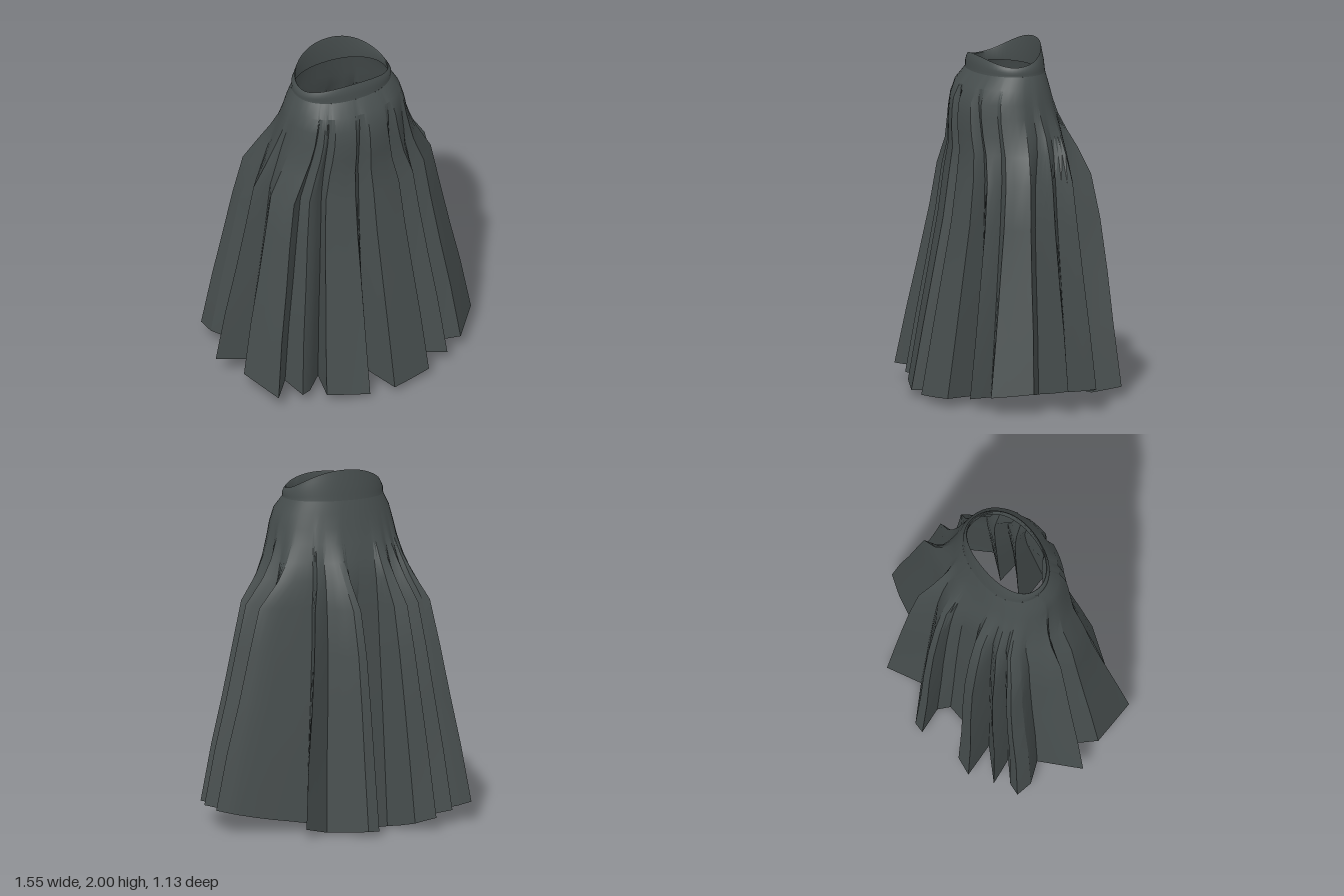
import * as THREE from 'three';
import { toCreasedNormals } from 'three/addons/utils/BufferGeometryUtils.js';

const cloth = new THREE.MeshStandardMaterial({ color: 0x474e4e, side: THREE.DoubleSide });
cloth.name = 'charcoalCloth';

const { lerp, smoothstep } = THREE.MathUtils;

// Skirt levels: height, half width, front reach, back reach, pleating in front, pleating behind
const LEVELS = [
  [1.83, 0.29, 0.23, 0.172, 0, 0],
  [1.76, 0.33, 0.29, 0.19, 0.12, 0],
  [1.68, 0.355, 0.322, 0.21, 0.42, 0.08],
  [1.6, 0.375, 0.332, 0.238, 0.58, 0.22],
  [1.5, 0.41, 0.332, 0.29, 0.7, 0.45],
  [1.4, 0.455, 0.325, 0.35, 0.85, 0.7],
  [1.25, 0.545, 0.345, 0.42, 0.97, 0.95],
  [1.0, 0.595, 0.38, 0.47, 1, 1],
  [0.7, 0.655, 0.44, 0.505, 1, 1],
  [0.4, 0.72, 0.5, 0.53, 1, 1],
  [0.04, 0.78, 0.57, 0.57, 1, 1],
];

// Corners of the pleats along the hem (x, z), from the front round by +x;
// a third number sets the angle at the waist where the pleat leans
const HEM = [
  [-0.02, 0.33], [0.05, 0.565], [0.29, 0.51], [0.23, 0.3], [0.44, 0.44],
  [0.41, 0.3, 0.98], [0.56, 0.365, 1.08], [0.72, 0.175, 1.5], [0.5, 0.05, 1.68], [0.775, -0.01, 1.82],
  [0.54, -0.11, 1.95], [0.775, -0.18, 2.22], [0.66, -0.215, 2.32], [0.27, -0.28, 2.55], [0.37, -0.51, 2.62],
  [0.2, -0.4, 2.72], [0.02, -0.57, 2.9], [-0.045, -0.57, 2.97], [0.02, -0.42, 3.06], [-0.01, -0.35, 3.24],
  [-0.19, -0.34, 3.48], [-0.29, -0.5], [-0.41, -0.52], [-0.33, -0.32], [-0.54, -0.44],
  [-0.47, -0.29], [-0.6, -0.37], [-0.68, -0.38], [-0.67, -0.28], [-0.58, -0.17],
  [-0.78, 0], [-0.6, 0.03], [-0.69, 0.17], [-0.61, 0.44], [-0.49, 0.28],
  [-0.46, 0.44], [-0.4, 0.41], [-0.29, 0.29], [-0.33, 0.48], [-0.1, 0.56],
];

// Point on a slightly squared oval ring with separate front and back reach
function oval(angle, rx, front, back, cx) {
  const square = (v) => Math.sign(v) * Math.abs(v) ** 0.92;
  return [
    cx + rx * square(Math.sin(angle)),
    (front - back) / 2 + (front + back) / 2 * square(Math.cos(angle)),
  ];
}

// Closed rings joined from first to last
function loft(rings, crease) {
  const n = rings[0].length;
  const index = [];
  for (let j = 0; j < rings.length - 1; j++) {
    for (let i = 0; i < n; i++) {
      const a = j * n + i, b = j * n + (i + 1) % n;
      index.push(a, a + n, b, b, a + n, b + n);
    }
  }
  const g = new THREE.BufferGeometry();
  g.setAttribute('position', new THREE.Float32BufferAttribute(rings.flat(2), 3));
  g.setIndex(index);
  return toCreasedNormals(g, crease);
}

// Hem corners with a steadily rising angle round the waist, long panels subdivided
function hemPoints() {
  let last = -0.1;
  const corners = HEM.map(([x, z, lean], i) => {
    let a = lean ?? Math.atan2(x / 0.78, z / 0.57);
    if (a < 0 && i > 0) a += Math.PI * 2;
    last = Math.max(a, last + 0.04);
    return { x, z, a: last };
  });
  corners.push({ ...corners[0], a: corners[0].a + Math.PI * 2 });
  const points = [];
  for (let i = 0; i < HEM.length; i++) {
    const p = corners[i], q = corners[i + 1];
    const steps = Math.ceil(Math.hypot(q.x - p.x, q.z - p.z) / 0.12);
    for (let s = 0; s < steps; s++) {
      const t = s / steps;
      points.push({ x: lerp(p.x, q.x, t), z: lerp(p.z, q.z, t), a: lerp(p.a, q.a, t) });
    }
  }
  return points;
}

// The hem rises at the sides and hangs lowest behind, under the inner folds
function hemHeight({ x, z }) {
  const side = 0.035 + 0.1 * (x / 0.78) ** 2;
  const behind = Math.max(0, Math.abs(x) - 0.2) * 0.22 + Math.max(0, -z - 0.36) * 0.12;
  return lerp(side, Math.min(side, behind), smoothstep(-z, 0.26, 0.34));
}

// Pleats grow out of a smooth hip into the folded hem
function skirtGeometry() {
  const top = LEVELS[0], bottom = LEVELS[LEVELS.length - 1];
  const share = (level, k) => (level[k] - top[k]) / (bottom[k] - top[k]);
  const points = hemPoints();
  const rings = LEVELS.map((level) => points.map((h) => {
    const [y, rx, front, back, pleatFront, pleatBack] = level;
    const behind = smoothstep(-Math.cos(h.a), -0.5, 0.5);
    const fx = share(level, 1);
    const fz = lerp(share(level, 2), share(level, 3), behind);
    const pleat = lerp(pleatFront, pleatBack, behind);
    const [wx, wz] = oval(h.a, top[1], top[2], top[3], -0.015);
    const [ox, oz] = oval(h.a, rx, front, back, -0.015 * (1 - fx));
    const drop = (top[0] - y) / (top[0] - bottom[0]);
    return [
      lerp(ox, lerp(wx, h.x, fx), pleat),
      y + (hemHeight(h) - bottom[0]) * drop ** 3,
      lerp(oz, lerp(wz, h.z, fz), pleat),
    ];
  }));
  return loft(rings, 0.45);
}

// Waistband: inner face, rolled rim rising at the back, outer face with a shallow seam
function waistbandGeometry() {
  const n = 56;
  // Height share from seam to rim, half width, front reach, back reach
  const profile = [
    [0.0, 0.276, 0.217, 0.158], [0.9, 0.268, 0.21, 0.146], [1.0, 0.272, 0.214, 0.149],
    [0.8, 0.28, 0.222, 0.154], [0.45, 0.29, 0.228, 0.164], [0.2, 0.288, 0.228, 0.168],
    [0.0, 0.29, 0.23, 0.172],
  ];
  const rings = profile.map(([t, rx, front, back]) => Array.from({ length: n }, (_, i) => {
    const a = i / n * Math.PI * 2, c = Math.cos(a);
    const rim = 1.885 - 0.0375 * c + 0.0775 * c * c;
    const [x, z] = oval(a, rx, front, back, -0.015);
    return [x, lerp(1.83, rim, t), z];
  }));
  return loft(rings, 0.8);
}

export function createModel() {
  const group = new THREE.Group();
  group.name = 'pleatedSkirt';
  const parts = { skirt: skirtGeometry(), waistband: waistbandGeometry() };
  for (const [name, geometry] of Object.entries(parts)) {
    const mesh = new THREE.Mesh(geometry, cloth);
    mesh.name = name;
    group.add(mesh);
  }
  return group;
}
